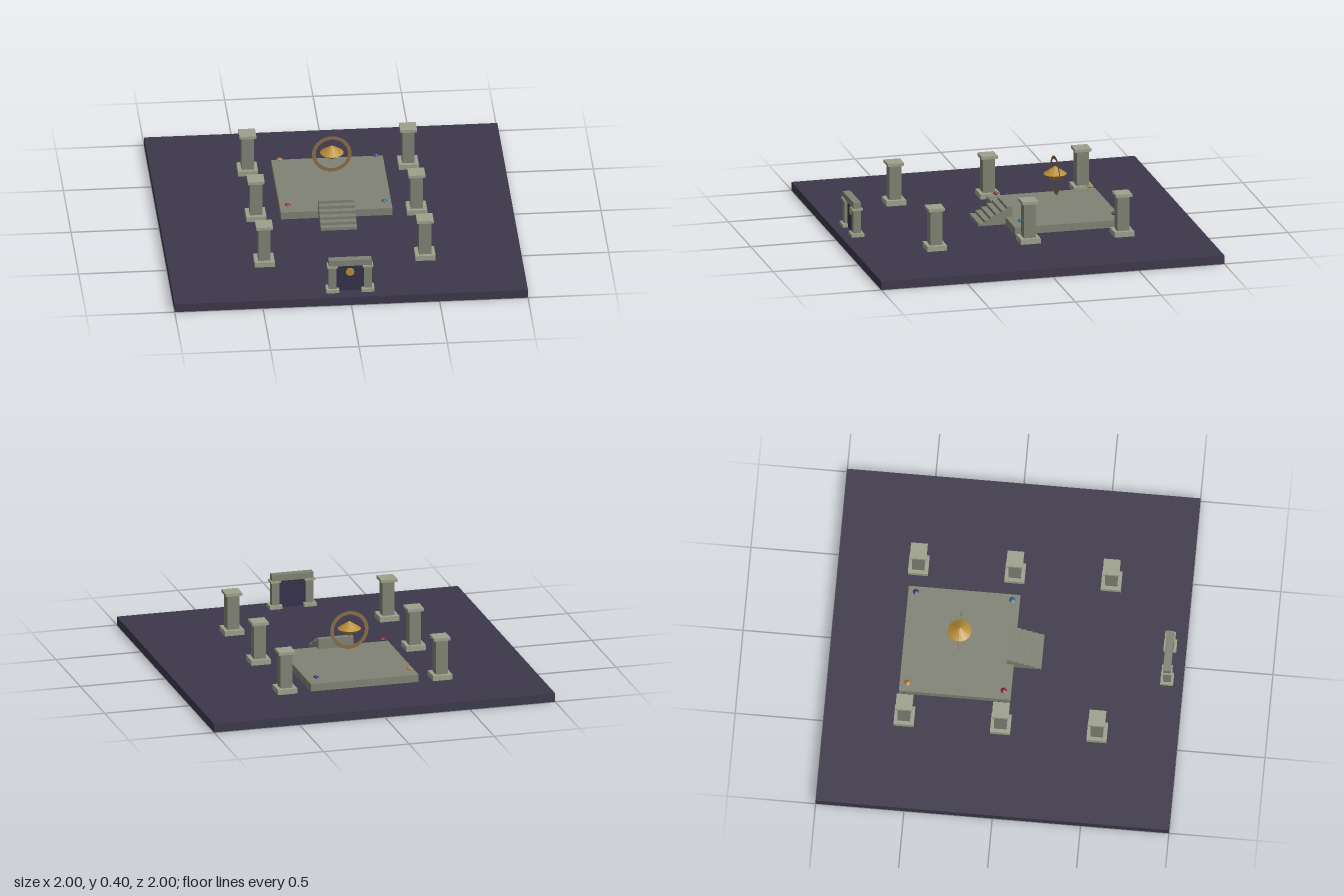
import * as THREE from 'three';

const mat = (color, extra = {}) => new THREE.MeshStandardMaterial({ color, ...extra });
const floorMat = mat(0x3c384a);
const stone = mat(0x7f8273);
const paleStone = mat(0x9da08c);
const gold = mat(0xb98e36, { flatShading: true });
const bronze = mat(0x8a6e45, { side: THREE.DoubleSide });

function add(parent, name, geometry, material, x = 0, y = 0, z = 0) {
  const mesh = new THREE.Mesh(geometry, material);
  mesh.name = name;
  mesh.position.set(x, y, z);
  parent.add(mesh);
  return mesh;
}

// Box resting on height y
function block(parent, name, w, h, d, material, x, y, z) {
  return add(parent, name, new THREE.BoxGeometry(w, h, d), material, x, y + h / 2, z);
}

// Two cones joined at the rim
function gem(parent, name, radius, halfHeight, material, x, y, z) {
  const profile = [[0, -halfHeight], [radius, 0], [0, halfHeight]].map(p => new THREE.Vector2(...p));
  return add(parent, name, new THREE.LatheGeometry(profile, 16), material, x, y, z);
}

function column(parent, name, x, z) {
  const g = new THREE.Group();
  g.name = name;
  g.position.set(x, 0, z);
  block(g, 'columnBase', 0.114, 0.03, 0.114, paleStone, 0, 0.05, 0);
  block(g, 'columnShaft', 0.07, 0.2, 0.07, stone, 0, 0.08, 0);
  block(g, 'columnCapital', 0.095, 0.017, 0.095, paleStone, 0, 0.28, 0);
  parent.add(g);
}

function gate() {
  const g = new THREE.Group();
  g.name = 'gate';
  g.position.z = 0.91;
  for (const s of [-1, 1]) {
    block(g, 'gatePostBase', 0.073, 0.02, 0.073, paleStone, s * 0.1, 0.05, 0);
    block(g, 'gatePost', 0.044, 0.135, 0.044, stone, s * 0.1, 0.07, 0);
    block(g, 'gatePostCap', 0.06, 0.011, 0.06, paleStone, s * 0.1, 0.203, 0);
  }
  block(g, 'gateLintel', 0.243, 0.036, 0.044, stone, 0, 0.213, 0);
  block(g, 'gateDoor', 0.16, 0.163, 0.01, mat(0x34314a), 0, 0.05, 0);
  // Round emblem on the door's front
  const seal = add(g, 'doorDisc', new THREE.CylinderGeometry(0.024, 0.024, 0.006, 24), mat(0xb98e36), 0, 0.168, 0.008);
  seal.rotation.x = Math.PI / 2;
  return g;
}

export function createModel() {
  const model = new THREE.Group();
  model.name = 'templeCourtyard';

  block(model, 'floor', 2, 0.05, 2, floorMat, 0, 0, 0);
  block(model, 'dais', 0.632, 0.043, 0.632, stone, 0, 0.05, -0.274);

  // Stairs climb toward the dais
  const stairs = new THREE.Group();
  stairs.name = 'stairs';
  const count = 6, run = 0.033, rise = 0.017;
  for (let i = 0; i < count; i++) {
    block(stairs, 'step', 0.205, rise * (i + 1), run, stone, 0, 0.05, 0.198 - run * (i + 0.5));
  }
  model.add(stairs);

  // Two rows of three columns
  for (const x of [-0.455, 0.455]) {
    for (const z of [-0.546, 0, 0.546]) column(model, 'column', x, z);
  }

  // Floating centre crystal with a flat halo ring
  gem(model, 'centreCrystal', 0.067, 0.045, gold, 0, 0.296, -0.274);
  add(model, 'haloRing', new THREE.RingGeometry(0.091, 0.112, 48), bronze, 0, 0.286, -0.274);

  // Small coloured gems above the dais corners
  const corners = [
    [-0.273, -0.546, 0xa87a35], [0.273, -0.546, 0x4a3f80],
    [-0.273, 0, 0x8f2c38], [0.273, 0, 0x2c6c8c],
  ];
  for (const [x, z, color] of corners) {
    gem(model, 'cornerGem', 0.018, 0.012, mat(color, { flatShading: true }), x, 0.12, z);
  }

  model.add(gate());
  return model;
}
